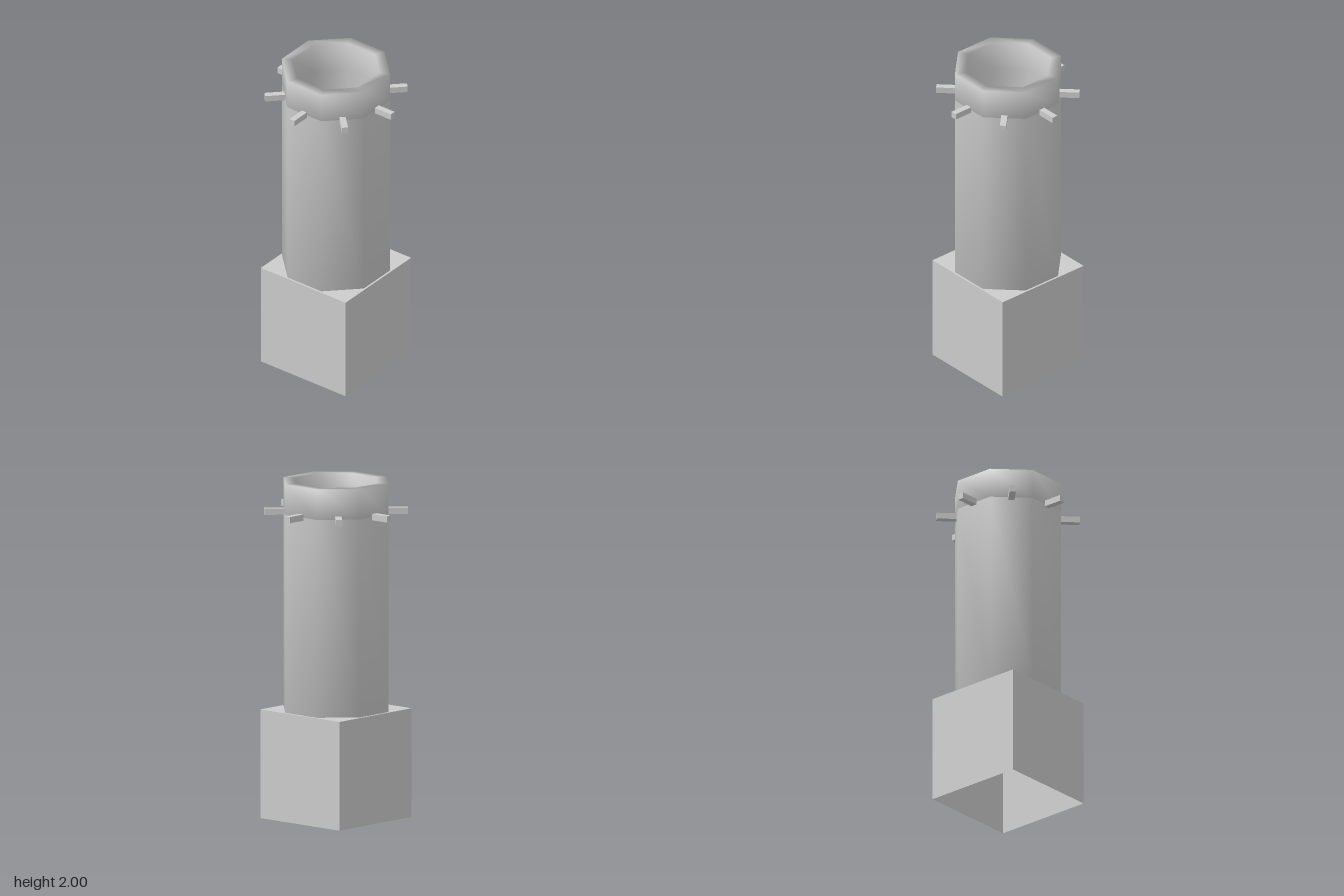
import * as THREE from 'three';

const OUTER = 0.302 / Math.cos(Math.PI / 8);
const INNER = 0.244 / Math.cos(Math.PI / 8);

export function createModel() {
  const group = new THREE.Group();
  const material = new THREE.MeshStandardMaterial({ color: 0xcccccc, side: THREE.DoubleSide });

  const add = (name, geometry) => {
    const mesh = new THREE.Mesh(geometry, material);
    mesh.name = name;
    group.add(mesh);
    return mesh;
  };

  // Eight-sided smooth surface whose flat sides face the axes
  const octagon = (points) => new THREE.LatheGeometry(
    points.map(([r, y]) => new THREE.Vector2(r, y)), 8, Math.PI / 8);

  // Square base, hollow and open underneath
  const box = new THREE.BoxGeometry(0.626, 0.645, 0.626);
  const index = Array.from(box.index.array);
  index.splice(18, 6); // drop the bottom face
  box.setIndex(index);
  box.clearGroups();
  add('base', box).position.y = 0.3225;

  // Tall shaft, with a hollow bore closed by a floor
  add('shaft', octagon([[0, 0.646], [OUTER, 0.646], [OUTER, 1.82]]));
  add('bore', octagon([[INNER, 1.82], [INNER, 0.66], [0, 0.66]]));

  // Rim band around the mouth
  add('rim', octagon([[INNER, 1.82], [OUTER, 1.82], [OUTER, 2], [INNER, 2], [INNER, 1.82]]));

  // Eight pegs radiating from the joint below the rim
  for (let i = 0; i < 8; i++) {
    const peg = new THREE.BoxGeometry(0.037, 0.037, 0.14);
    peg.translate(0, 0, 0.35);
    const mesh = add('peg', peg);
    mesh.position.y = 1.821;
    mesh.rotation.y = i * Math.PI / 4;
  }

  return group;
}
